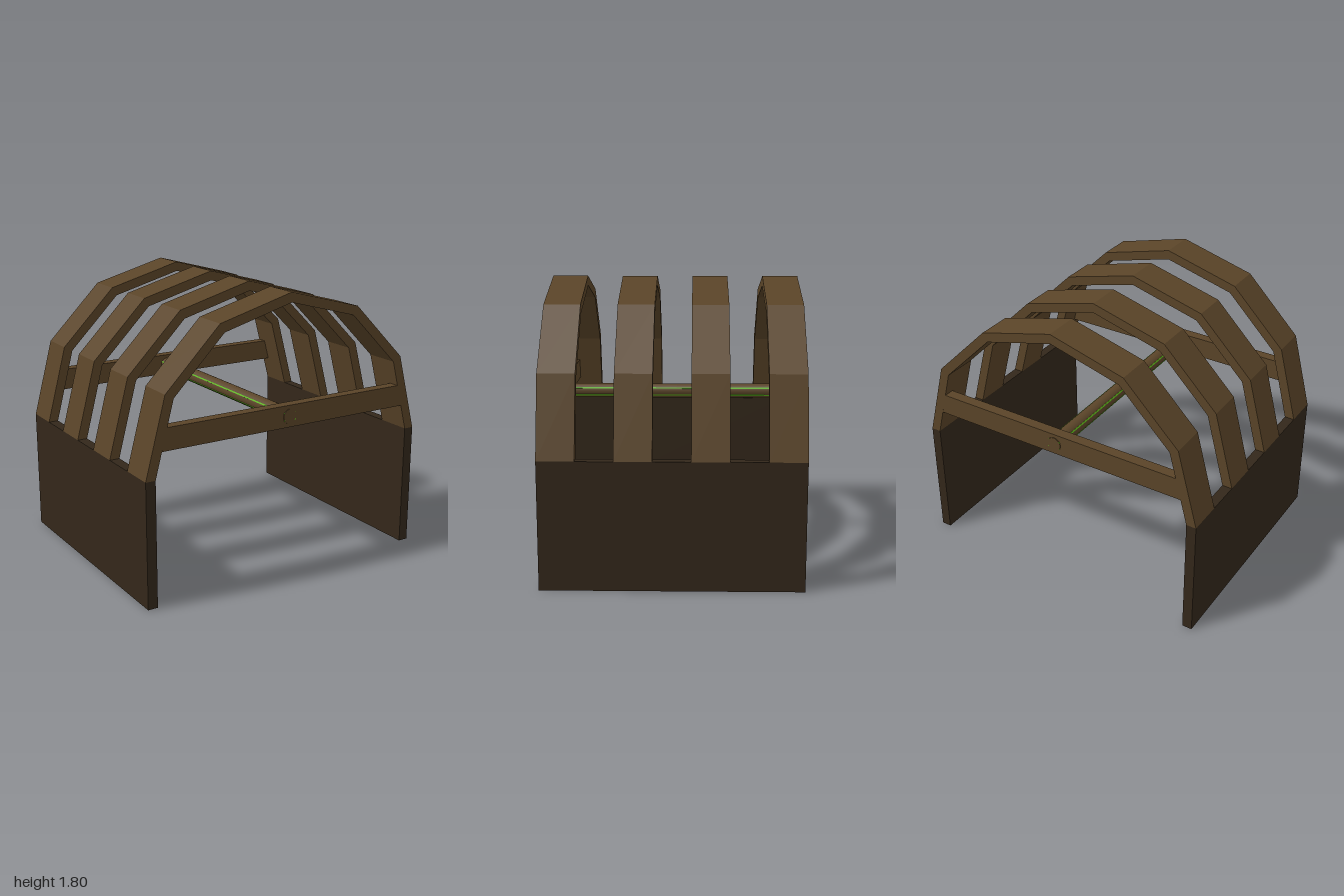
import * as THREE from 'three';

const DEPTH = 1.6;
const RIB = DEPTH / 7; // four ribs and three equal gaps

const wood = new THREE.MeshStandardMaterial({ color: 0x5a4428 });
const darkWood = new THREE.MeshStandardMaterial({ color: 0x33271a });
const green = new THREE.MeshStandardMaterial({ color: 0x5fb81a });

// Extrude a front outline, centred on the given z
function slab(name, points, depth, z, material) {
  const shape = new THREE.Shape(points.map(([x, y]) => new THREE.Vector2(x, y)));
  const geometry = new THREE.ExtrudeGeometry(shape, { depth, bevelEnabled: false });
  geometry.translate(0, 0, z - depth / 2);
  const mesh = new THREE.Mesh(geometry, material);
  mesh.name = name;
  return mesh;
}

// Mirror a half profile that ends on the centre line
function mirrored(half) {
  return [...half, ...half.slice(0, -1).reverse().map(([x, y]) => [-x, y])];
}

export function createModel() {
  const model = new THREE.Group();
  model.name = 'archedFrame';

  // Solid side walls
  for (const s of [1, -1]) {
    const outline = [[0.935 * s, 0], [s, 0], [s, 0.8], [0.935 * s, 0.8]];
    model.add(slab(s > 0 ? 'leftWall' : 'rightWall', outline, DEPTH, 0, darkWood));
  }

  // Faceted arch ribs
  const outer = mirrored([[1, 0.8], [0.866, 1.3], [0.5, 1.666], [0, 1.8]]);
  const inner = mirrored([[0.935, 0.8], [0.81, 1.27], [0.469, 1.611], [0, 1.737]]);
  const arch = [...outer, ...inner.reverse()];
  for (let i = 0; i < 4; i++) {
    model.add(slab('rib' + (i + 1), arch, RIB, DEPTH / 2 - RIB * (2 * i + 0.5), wood));
  }

  // Cross beams, cut to the slope of the arch
  const beam = [[-0.891, 0.965], [0.891, 0.965], [0.854, 1.105], [-0.854, 1.105]];
  model.add(slab('frontBeam', beam, 0.07, 0.765, wood));
  model.add(slab('backBeam', beam, 0.07, -0.765, wood));

  // Round rod joining the beams, with thin green strips along its sides
  const rod = new THREE.Group();
  rod.name = 'rod';
  rod.position.y = 1.035;
  const bar = new THREE.Mesh(new THREE.CylinderGeometry(0.047, 0.047, 1.61, 24), wood);
  bar.name = 'rodBar';
  bar.rotation.x = Math.PI / 2;
  rod.add(bar);
  for (const degrees of [30, 150, 210, 330]) {
    const a = THREE.MathUtils.degToRad(degrees);
    const strip = new THREE.Mesh(new THREE.BoxGeometry(0.008, 0.009, 1.61), green);
    strip.name = 'rodStrip';
    strip.position.set(0.045 * Math.cos(a), 0.045 * Math.sin(a), 0);
    strip.rotation.z = a;
    rod.add(strip);
  }
  model.add(rod);

  return model;
}
